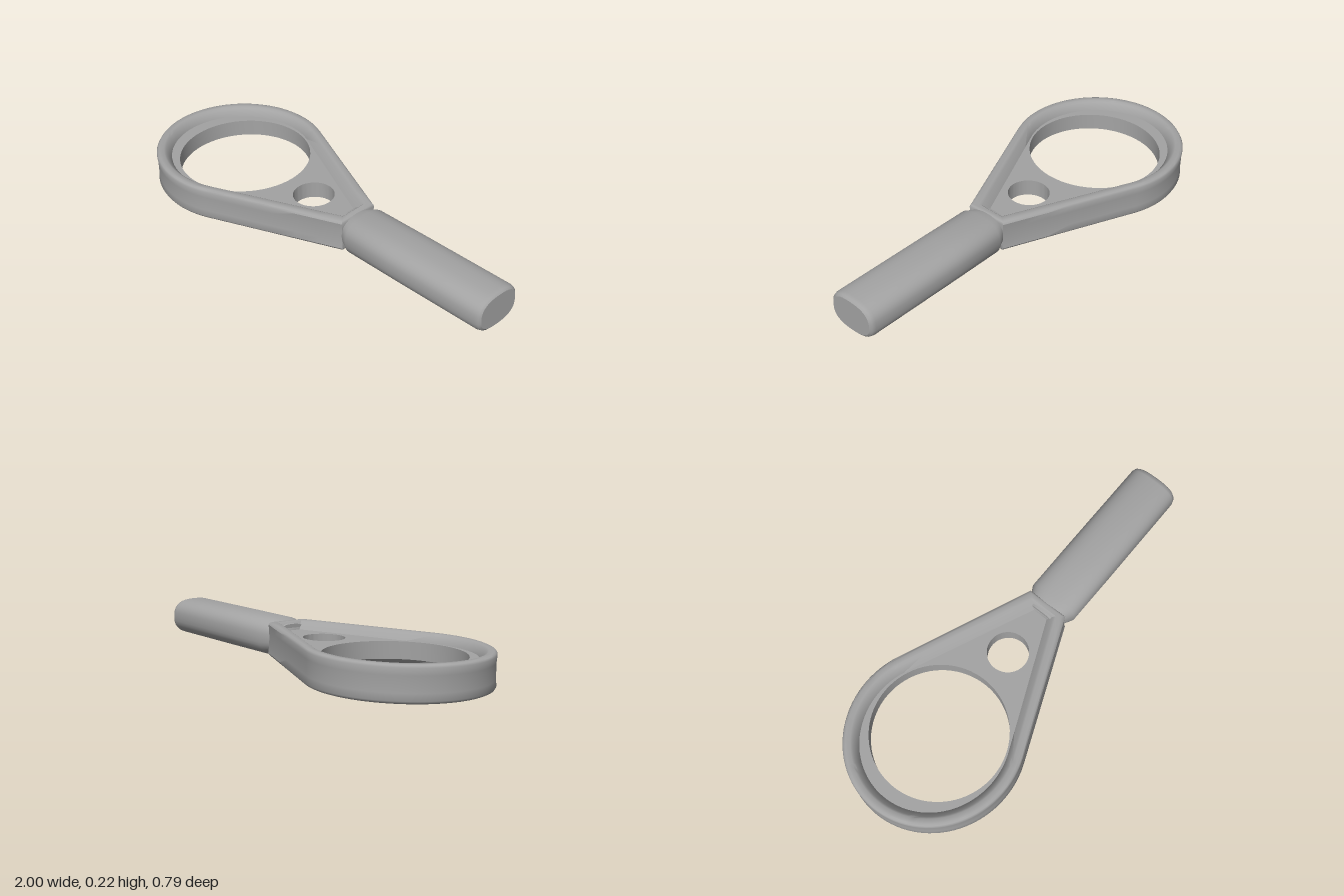
import * as THREE from 'three';
import { toCreasedNormals } from 'three/addons/utils/BufferGeometryUtils.js';

// Skin a grid of rows; every row is a closed loop of points
function loft(rows, closed) {
  const n = rows[0].length, m = rows.length, index = [];
  for (let i = 0; i < (closed ? m : m - 1); i++) {
    for (let j = 0; j < n; j++) {
      const i2 = (i + 1) % m, j2 = (j + 1) % n;
      const a = i * n + j, b = i * n + j2, c = i2 * n + j, d = i2 * n + j2;
      index.push(a, b, c, b, d, c);
    }
  }
  const geo = new THREE.BufferGeometry();
  geo.setAttribute('position', new THREE.Float32BufferAttribute(rows.flat(2), 3));
  geo.setIndex(index);
  return toCreasedNormals(geo, 0.65);
}

// Teardrop outline in x/z, moved inwards by d
function outline(d) {
  const pts = [], start = THREE.MathUtils.degToRad(67), steps = 56;
  for (let i = 0; i <= steps; i++) {
    const t = start + (i / steps) * (2 * Math.PI - 2 * start);
    pts.push([-0.585 + (0.415 - d) * Math.cos(t), (0.395 - d) * Math.sin(t)]);
  }
  const last = pts[steps], endX = 0.2 - d * 0.8, endZ = 0.1 - d * 0.9;
  const side = [];
  for (let i = 1; i <= 6; i++) {
    const k = i / 6;
    side.push([last[0] + (endX - last[0]) * k, last[1] + (-endZ - last[1]) * k]);
  }
  const mirrored = side.map(([x, z]) => [x, -z]).reverse();
  return [...pts, ...side, ...mirrored];
}

export function createModel() {
  const model = new THREE.Group();
  const body = new THREE.Group();
  body.name = 'tiltedBody';
  body.position.set(0, 0.1085, -0.004);
  body.rotation.z = 0.0285;
  model.add(body);

  const grey = new THREE.MeshStandardMaterial({ color: 0xa3a3a3 });
  grey.name = 'plain grey';
  const add = (name, geo) => {
    const mesh = new THREE.Mesh(geo, grey);
    mesh.name = name;
    body.add(mesh);
  };

  // Raised rim: [inset, height] profile carried round the teardrop
  const upper = [[0.003, 0.035], [0, 0.066], [0.005, 0.075], [0.014, 0.079], [0.036, 0.079], [0.046, 0.072], [0.07, 0.04]];
  const profile = [...upper.map(([d, y]) => [d, y]), ...upper.map(([d, y]) => [d, -y]).reverse()];
  const loops = profile.map(([d]) => outline(d));
  const rimRows = loops[0].map((_, i) => profile.map(([, y], j) => [loops[j][i][0], y, loops[j][i][1]]));
  add('rim', loft(rimRows, true));

  // Recessed web with the large and small through holes
  const shape = new THREE.Shape(outline(0.06).map(([x, z]) => new THREE.Vector2(x, z)));
  for (const [x, r] of [[-0.56, 0.31], [-0.085, 0.095]]) {
    shape.holes.push(new THREE.Path().absarc(x, 0, r, 0, Math.PI * 2, true));
  }
  const web = new THREE.ExtrudeGeometry(shape, { depth: 0.08, bevelEnabled: false, curveSegments: 40 });
  web.translate(0, 0, -0.04).rotateX(Math.PI / 2);
  add('web', toCreasedNormals(web, 0.65));

  // Handle: rounded oblong sections as [x, half height, half width]
  const sections = [
    [0.15, 0.0005, 0.0005], [0.15, 0.068, 0.085], [0.2, 0.077, 0.1], [0.24, 0.088, 0.121],
    [0.5, 0.088, 0.122], [0.975, 0.087, 0.121], [0.992, 0.083, 0.116], [1, 0.074, 0.106], [1, 0.0005, 0.0005],
  ];
  const power = (v) => Math.sign(v) * Math.abs(v) ** (2 / 2.6);
  const handleRows = sections.map(([x, h, w]) => Array.from({ length: 40 }, (_, j) => {
    const t = (j / 40) * Math.PI * 2;
    return [x, h * power(Math.cos(t)), w * power(Math.sin(t))];
  }));
  add('handle', loft(handleRows, false));

  return model;
}
